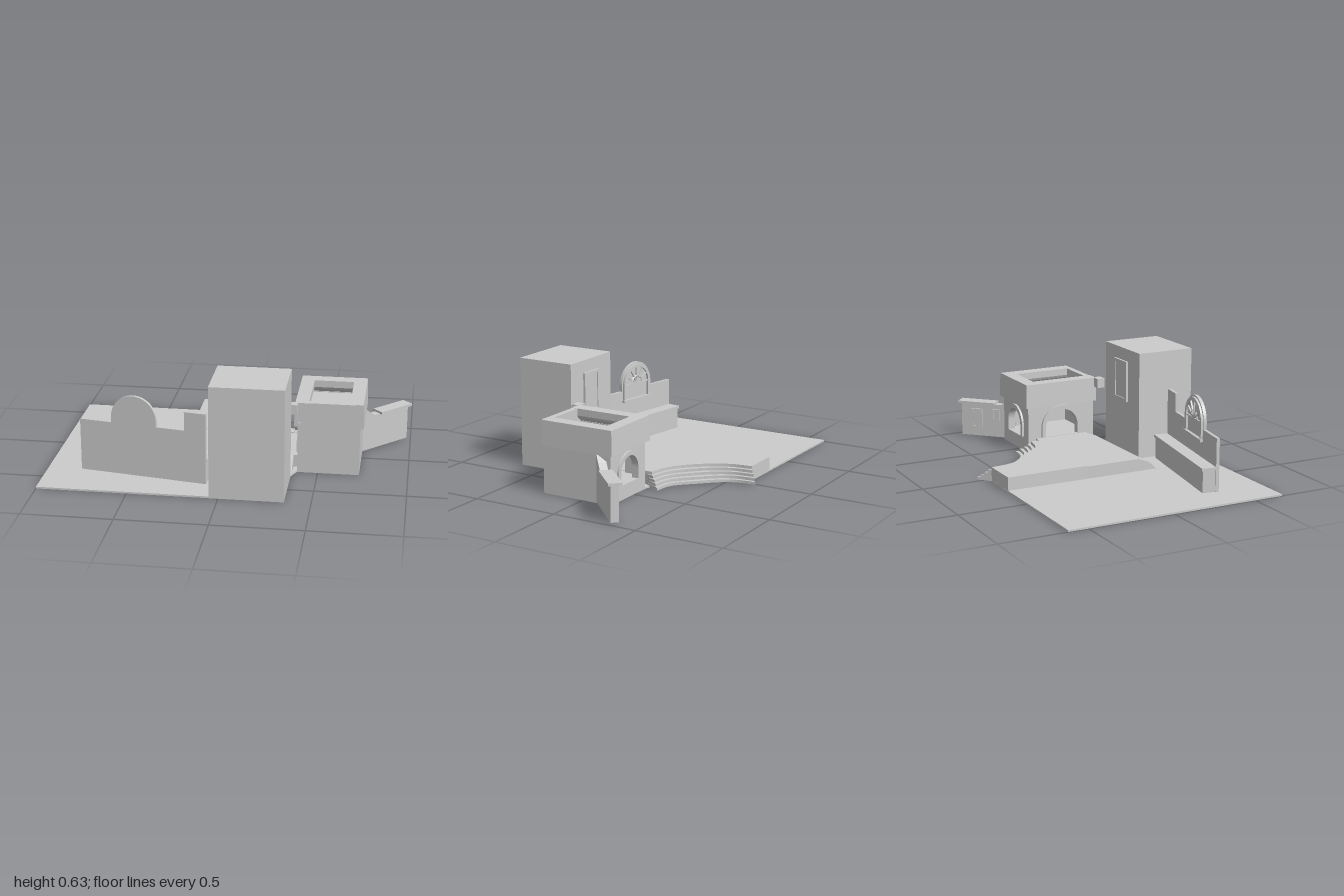
import * as THREE from 'three';

const mat = new THREE.MeshStandardMaterial({ color: 0xcccccc, flatShading: true, side: THREE.DoubleSide });

function add(parent, name, geo, x = 0, y = 0, z = 0) {
  const m = new THREE.Mesh(geo, mat);
  m.name = name;
  m.position.set(x, y, z);
  parent.add(m);
  return m;
}
// box given by its limits
function block(parent, name, x0, x1, y0, y1, z0, z1) {
  return add(parent, name, new THREE.BoxGeometry(x1 - x0, y1 - y0, z1 - z0),
    (x0 + x1) / 2, (y0 + y1) / 2, (z0 + z1) / 2);
}
const extrude = (shape, depth) =>
  new THREE.ExtrudeGeometry(shape, { depth, bevelEnabled: false, curveSegments: 14 });
const shapeOf = pts => new THREE.Shape(pts.map(p => new THREE.Vector2(p[0], p[1])));

// slab from a plan outline of [x, z] points
function slab(parent, name, plan, y0, y1) {
  const geo = extrude(shapeOf(plan.map(([x, z]) => [x, -z])), y1 - y0).rotateX(-Math.PI / 2);
  return add(parent, name, geo, 0, y0, 0);
}
// round-headed outline, traced as a shape or a hole
function archPath(path, x, y0, spring, r) {
  path.moveTo(x - r, y0);
  path.lineTo(x + r, y0);
  path.lineTo(x + r, spring);
  path.absarc(x, spring, r, 0, Math.PI, false);
  path.lineTo(x - r, y0);
  return path;
}
function archFrame(x, y0, spring, r, w, depth) {
  const s = archPath(new THREE.Shape(), x, y0, spring, r + w);
  s.holes.push(archPath(new THREE.Path(), x, y0 + 0.002, spring, r));
  return extrude(s, depth);
}
// rectangular frame with a recessed pane, centred on its own origin, depth along z
function panel(parent, name, w, h, d, b) {
  const g = new THREE.Group();
  g.name = name;
  for (const s of [-1, 1]) {
    block(g, 'frameSide', s * (w - b) / 2 - b / 2, s * (w - b) / 2 + b / 2, -h / 2, h / 2, -d / 2, d / 2);
    block(g, 'frameRail', -w / 2, w / 2, s * (h - b) / 2 - b / 2, s * (h - b) / 2 + b / 2, -d / 2, d / 2);
  }
  block(g, 'pane', -w / 2, w / 2, -h / 2, h / 2, -d / 6, d / 2);
  parent.add(g);
  return g;
}
// sweep an [offset, y] profile along a right-angled plan path with mitred corners
function sweep(path, profile) {
  const n = profile.length, pos = [];
  const outs = path.slice(1).map((p, i) => {
    const dx = p[0] - path[i][0], dz = p[1] - path[i][1], l = Math.hypot(dx, dz);
    return [dz / l, -dx / l];
  });
  const rings = path.map((p, i) => {
    const a = outs[i - 1], b = outs[i];
    const o = a && b ? [a[0] + b[0], a[1] + b[1]] : a || b;
    return profile.map(([d, y]) => [p[0] + o[0] * d, y, p[1] + o[1] * d]);
  });
  for (let i = 0; i + 1 < rings.length; i++)
    for (let j = 0; j < n; j++) {
      const k = (j + 1) % n, A = rings[i], B = rings[i + 1];
      pos.push(...A[j], ...A[k], ...B[k], ...A[j], ...B[k], ...B[j]);
    }
  const tris = THREE.ShapeUtils.triangulateShape(profile.map(p => new THREE.Vector2(...p)), []);
  for (const ring of [rings[0], rings[rings.length - 1]])
    for (const t of tris) for (const i of t) pos.push(...ring[i]);
  const geo = new THREE.BufferGeometry();
  geo.setAttribute('position', new THREE.Float32BufferAttribute(pos, 3));
  geo.computeVertexNormals();
  return geo;
}

function buildTerrace(root) {
  const g = new THREE.Group();
  g.name = 'terrace';
  root.add(g);
  const inner = [[-0.05, -0.61], [-0.03, -0.49], [0.03, -0.38], [0.13, -0.27], [0.23, -0.21], [0.33, -0.19]];
  const outer = [[0.02, -0.67], [0.03, -0.57], [0.06, -0.5], [0.16, -0.39], [0.28, -0.28], [0.39, -0.26]];
  const edge = t => new THREE.CatmullRomCurve3(inner.map((p, i) => new THREE.Vector3(
    p[0] + (outer[i][0] - p[0]) * t, 0, p[1] + (outer[i][1] - p[1]) * t)))
    .getPoints(18).map(v => [v.x, v.z]);

  slab(g, 'ground', [[-1, -0.615], ...edge(0), [0.385, -0.18], [0.385, 0.25], [0.355, 0.32],
    [0.355, 0.67], [-1, 0.67]], 0, 0.01);
  slab(g, 'platform', [[-0.27, -0.61], ...edge(0), [0.33, -0.13], [-0.27, -0.13]], 0.005, 0.085);
  slab(g, 'platformFront', [[-0.27, -0.13], [0.385, -0.13], [0.385, 0.2], [-0.27, 0.2]], 0.005, 0.081);
  // curved slope down to the ground
  const slope = shapeOf([[-0.2, 0.005], [-0.2, 0.081], [-0.25, 0.062], [-0.28, 0.045], [-0.3, 0.024], [-0.32, 0.005]]);
  add(g, 'slope', extrude(slope, 0.63).rotateY(Math.PI / 2), -0.27, 0, 0);
  // concave steps
  [0.068, 0.052, 0.036, 0.02].forEach((top, i) =>
    slab(g, 'step', [[-0.05, -0.61], ...edge((i + 1) / 4), [0.33, -0.15], [-0.05, -0.15]], 0.004, top));
}

function buildTower(root) {
  const g = new THREE.Group();
  g.name = 'tower';
  root.add(g);
  block(g, 'towerBody', -0.05, 0.355, 0.005, 0.633, 0.322, 0.67);
  panel(g, 'towerWindow', 0.15, 0.24, 0.018, 0.018).position.set(0.157, 0.44, 0.318);
}

function buildArchedWall(root) {
  const g = new THREE.Group();
  g.name = 'archedWall';
  g.position.set(-0.45, 0, 0.45);
  g.rotation.y = -Math.atan2(0.12, 0.72);
  root.add(g);
  const ax = -0.05, r = 0.13, cy = 0.345;
  const s = new THREE.Shape();
  s.moveTo(-0.365, 0.005);
  s.lineTo(0.365, 0.005);
  s.lineTo(0.365, 0.417);
  s.lineTo(0.243, 0.417);
  s.lineTo(0.243, 0.31);
  s.lineTo(ax + r, 0.31);
  s.lineTo(ax + r, cy);
  s.absarc(ax, cy, r, 0, Math.PI, false);
  s.lineTo(ax - r, 0.31);
  s.lineTo(-0.365, 0.31);
  add(g, 'wallPanel', extrude(s, 0.018), 0, 0, -0.018);
  // bench along the back of the wall
  block(g, 'bench', -0.36, 0.36, 0.005, 0.135, -0.092, -0.015);
  block(g, 'benchCap', -0.367, 0.367, 0.135, 0.15, -0.1, -0.015);
  // fan window
  add(g, 'fanFrame', archFrame(ax, 0.25, cy, 0.1, 0.02, 0.012), 0, 0, -0.03);
  add(g, 'fanRing', new THREE.TorusGeometry(0.045, 0.006, 4, 16, Math.PI), ax, cy, -0.022);
  for (let i = 0; i <= 6; i++) {
    const a = i * Math.PI / 6;
    const bar = add(g, 'fanBar', new THREE.BoxGeometry(0.1, 0.008, 0.01),
      ax + Math.cos(a) * 0.05, cy + Math.sin(a) * 0.05, -0.022);
    bar.rotation.z = a;
  }
  block(g, 'windowSill', ax - 0.125, ax + 0.125, 0.24, 0.255, -0.036, -0.015);
}

function buildGatehouse(root) {
  const g = new THREE.Group();
  g.name = 'gatehouse';
  root.add(g);
  const x0 = 0.385, x1 = 0.73, z0 = -0.18, z1 = 0.25, t = 0.03, floor = 0.085;
  // wall with an arched doorway, centred on its own x
  const archWall = (w, r, spring) => {
    const wall = new THREE.Group();
    wall.name = 'archWall';
    const s = shapeOf([[-w / 2, 0], [w / 2, 0], [w / 2, 0.34], [-w / 2, 0.34]]);
    s.holes.push(archPath(new THREE.Path(), 0, floor, spring, r));
    add(wall, 'wall', extrude(s, t));
    add(wall, 'archMoulding', archFrame(0, floor, spring, r, 0.025, 0.014), 0, 0, -0.012);
    g.add(wall);
    return wall;
  };
  archWall(x1 - x0, 0.085, 0.15).position.set((x0 + x1) / 2, 0, z0);
  const side = archWall(z1 - z0, 0.105, 0.14);
  side.rotation.y = Math.PI / 2;
  side.position.set(x0, 0, (z0 + z1) / 2);
  block(g, 'frontWall', x0, x1, 0, 0.4, z1 - t, z1);
  block(g, 'sideWall', x1 - t, x1, 0, 0.34, z0, z1);
  block(g, 'floor', x0 + 0.002, x1, 0, floor, z0 + 0.002, z1);
  block(g, 'roof', x0, x1, 0.32, 0.335, z0, z1);
  block(g, 'frontRail', x0 + 0.01, x1, 0.385, 0.414, z1 - t, z1 + 0.004);
  // cornice round three sides
  const profile = [[-0.02, 0.275], [0.006, 0.275], [0.014, 0.282], [0.014, 0.296], [0.004, 0.302],
    [0.006, 0.326], [0.02, 0.334], [0.03, 0.345], [0.052, 0.36], [0.06, 0.375], [0.06, 0.415], [-0.015, 0.415]];
  const path = [[x0, z1 + 0.01], [x0, z0], [x1, z0], [x1, z1]].map(([x, z]) => [x, z]);
  add(g, 'cornice', sweep(path.reverse(), profile));
  block(g, 'corniceEnd', 0.325, x0, 0.36, 0.415, z1, 0.298);
}

function buildSideWall(root) {
  // diagonal wall running out from the gatehouse; local x follows its length
  const g = new THREE.Group();
  g.name = 'gardenWall';
  g.position.set(0.73, 0, -0.09);
  g.rotation.y = Math.PI / 4;
  root.add(g);
  const s = shapeOf([[0, 0.005], [0.35, 0.005], [0.35, 0.208], [0.09, 0.208], [0.05, 0.235], [0, 0.275]]);
  add(g, 'wall', extrude(s, 0.045), 0, 0, -0.045);
  block(g, 'wallCap', 0.13, 0.368, 0.206, 0.22, -0.06, 0.016);
  panel(g, 'wallNiche', 0.07, 0.12, 0.014, 0.014).position.set(0.25, 0.115, -0.048);
  panel(g, 'linkNiche', 0.045, 0.07, 0.014, 0.01).position.set(0.125, 0.145, -0.048);
}

export function createModel() {
  const root = new THREE.Group();
  root.name = 'courtyard';
  buildTerrace(root);
  buildTower(root);
  buildArchedWall(root);
  buildGatehouse(root);
  buildSideWall(root);
  return root;
}
